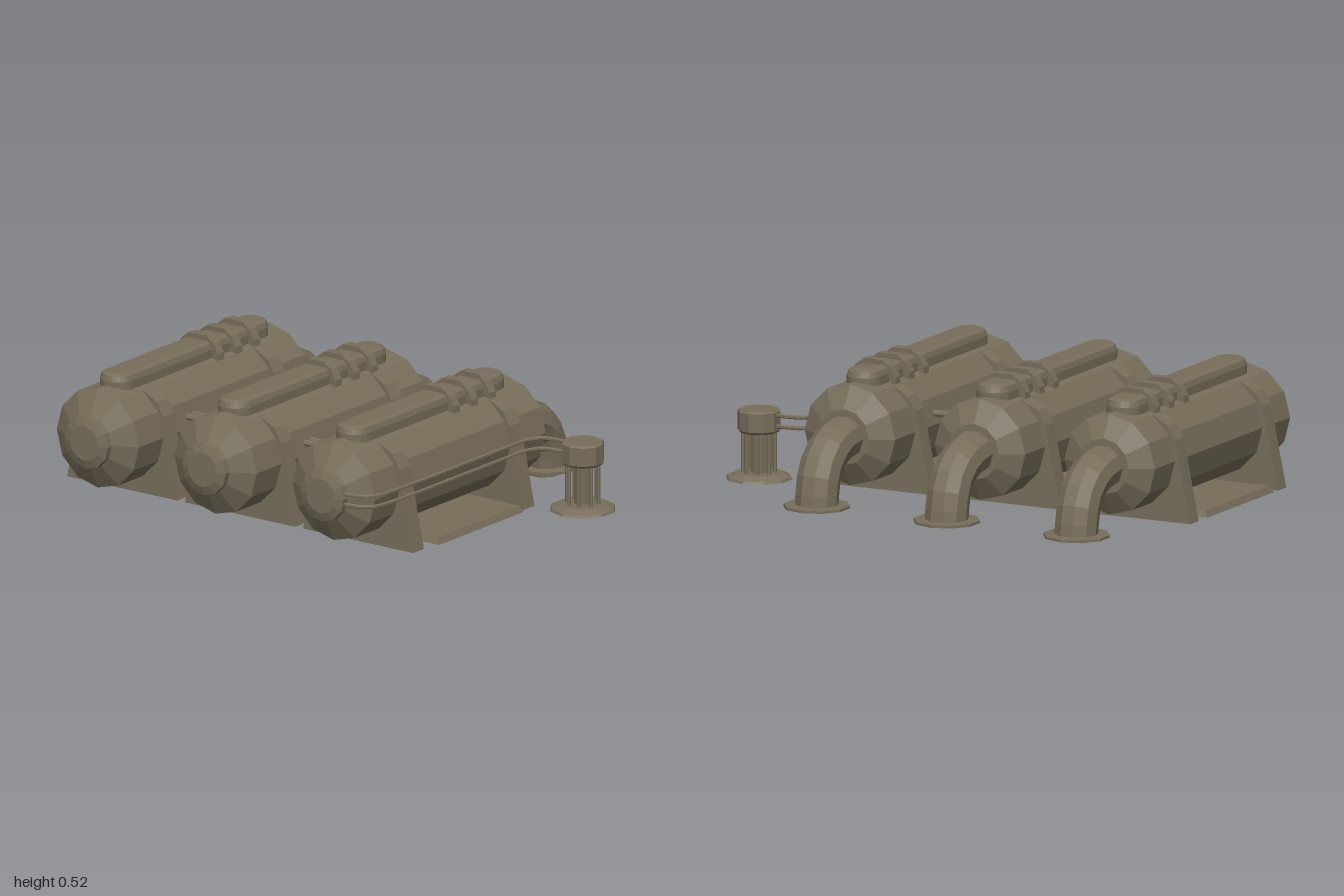
import * as THREE from 'three';

export function createModel() {
  const model = new THREE.Group();
  model.name = 'storageTanks';
  const metal = new THREE.MeshStandardMaterial({ color: 0x776d59, flatShading: true, side: THREE.DoubleSide });
  metal.name = 'drab metal';

  const add = (parent, name, geometry, x = 0, y = 0, z = 0) => {
    const mesh = new THREE.Mesh(geometry, metal);
    mesh.name = name;
    mesh.position.set(x, y, z);
    parent.add(mesh);
    return mesh;
  };
  const lathe = (pts, sides) => new THREE.LatheGeometry(pts.map(p => new THREE.Vector2(...p)), sides);
  const curve = pts => new THREE.CatmullRomCurve3(pts.map(p => new THREE.Vector3(...p)));
  // Mirrored outline in x, extruded along z about its own centre
  const plate = (half, depth) => {
    const pts = [...half, ...half.slice().reverse().map(([x, y]) => [-x, y])];
    const shape = new THREE.Shape(pts.map(p => new THREE.Vector2(...p)));
    return new THREE.ExtrudeGeometry(shape, { depth, bevelEnabled: false }).translate(0, 0, -depth / 2);
  };

  // Geometry shared by the three tanks
  const shell = lathe([[0, -0.44], [0.11, -0.44], [0.198, -0.39], [0.198, 0.70], [0.105, 0.75],
    [0.105, 0.775], [0.07, 0.787], [0, 0.787]], 12).rotateX(Math.PI / 2);
  const saddle = plate([[0.265, 0.027], [0.198, 0.35], [0.165, 0.405], [0.1, 0.44]], 0.068);
  const band = plate([[0.1, 0.42], [0.098, 0.465], [0.075, 0.505], [0.04, 0.53]], 0.04);

  // Long rounded ridge along the top
  const w = 0.045, l = 0.42;
  const stadium = new THREE.Shape();
  stadium.absarc(0, l, w, 0, Math.PI);
  stadium.absarc(0, -l, w, Math.PI, Math.PI * 2);
  const ridge = new THREE.ExtrudeGeometry(stadium, {
    depth: 0.07, curveSegments: 6, bevelSize: 0.025, bevelThickness: 0.03, bevelSegments: 2,
  }).rotateX(-Math.PI / 2);

  // Outlet elbow and its floor flange
  const elbow = new THREE.TubeGeometry(curve([[0, 0.265, -0.40], [0, 0.265, -0.48], [0, 0.243, -0.55],
    [0, 0.2, -0.61], [0, 0.13, -0.645], [0, 0.02, -0.661]]), 7, 0.085, 10);
  const flange = lathe([[0.078, 0.033], [0.13, 0.033], [0.13, 0.043], [0.078, 0.046], [0.078, 0.033]], 10);

  for (const x of [-0.72, -0.153, 0.415]) {
    const tank = new THREE.Group();
    tank.name = 'tank';
    tank.position.x = x;
    model.add(tank);
    add(tank, 'shell', shell, 0, 0.267, 0);
    for (const z of [0.51, -0.195]) add(tank, 'saddle', saddle, 0, 0, z);
    add(tank, 'topRidge', ridge, 0, 0.41, 0.15);
    for (const z of [0.045, -0.07, -0.185]) add(tank, 'ridgeBand', band, 0, 0, z);
    add(tank, 'outletElbow', elbow);
    add(tank, 'outletFlange', flange, 0, 0, -0.657);
  }

  // Floor slab with sloping edges
  const slab = new THREE.BoxGeometry(1.71, 0.026, 0.542);
  const p = slab.attributes.position;
  for (let i = 0; i < p.count; i++) {
    if (p.getY(i) > 0) p.setXYZ(i, p.getX(i) * 0.985, p.getY(i), p.getZ(i) * 0.955);
  }
  add(model, 'floorSlab', slab, -0.145, 0.047, 0.148);

  // Pipes linking neighbouring tanks
  const link = new THREE.CylinderGeometry(0.014, 0.014, 0.24, 8).rotateZ(Math.PI / 2);
  for (const [x, z] of [[-0.437, 0.335], [-0.437, 0.375], [0.131, 0.335], [0.131, 0.375], [0.131, -0.053]]) {
    add(model, 'linkPipe', link, x, 0.308, z);
  }

  // Pump beside the right-hand tank
  const pump = new THREE.Group();
  pump.name = 'pump';
  pump.position.set(0.865, 0, -0.293);
  model.add(pump);
  add(pump, 'pumpBase', lathe([[0.07, 0.033], [0.13, 0.033], [0.125, 0.043], [0.092, 0.058], [0, 0.058]], 10));
  add(pump, 'pumpColumn', new THREE.CylinderGeometry(0.035, 0.035, 0.18, 8), 0, 0.14, 0);
  add(pump, 'pumpHead', lathe([[0, 0.217], [0.075, 0.217], [0.084, 0.226], [0.084, 0.3], [0.076, 0.306], [0, 0.306]], 10));
  const rod = new THREE.CylinderGeometry(0.008, 0.008, 0.18, 6);
  for (let i = 0; i < 8; i++) {
    const a = (i + 0.5) * Math.PI / 4;
    add(pump, 'pumpRod', rod, Math.cos(a) * 0.062, 0.14, Math.sin(a) * 0.062);
  }

  // Twin hoses from the tank's front cap to the pump
  for (const y of [0.287, 0.245]) {
    const path = curve([[0.47, y, 0.76], [0.56, y, 0.757], [0.617, y, 0.725], [0.638, y, 0.62], [0.642, y, 0.5],
      [0.645, y, -0.1], [0.648, y, -0.22], [0.68, y, -0.28], [0.73, y, -0.293], [0.83, y, -0.295]]);
    add(model, 'hose', new THREE.TubeGeometry(path, 48, 0.008, 6));
  }
  return model;
}
